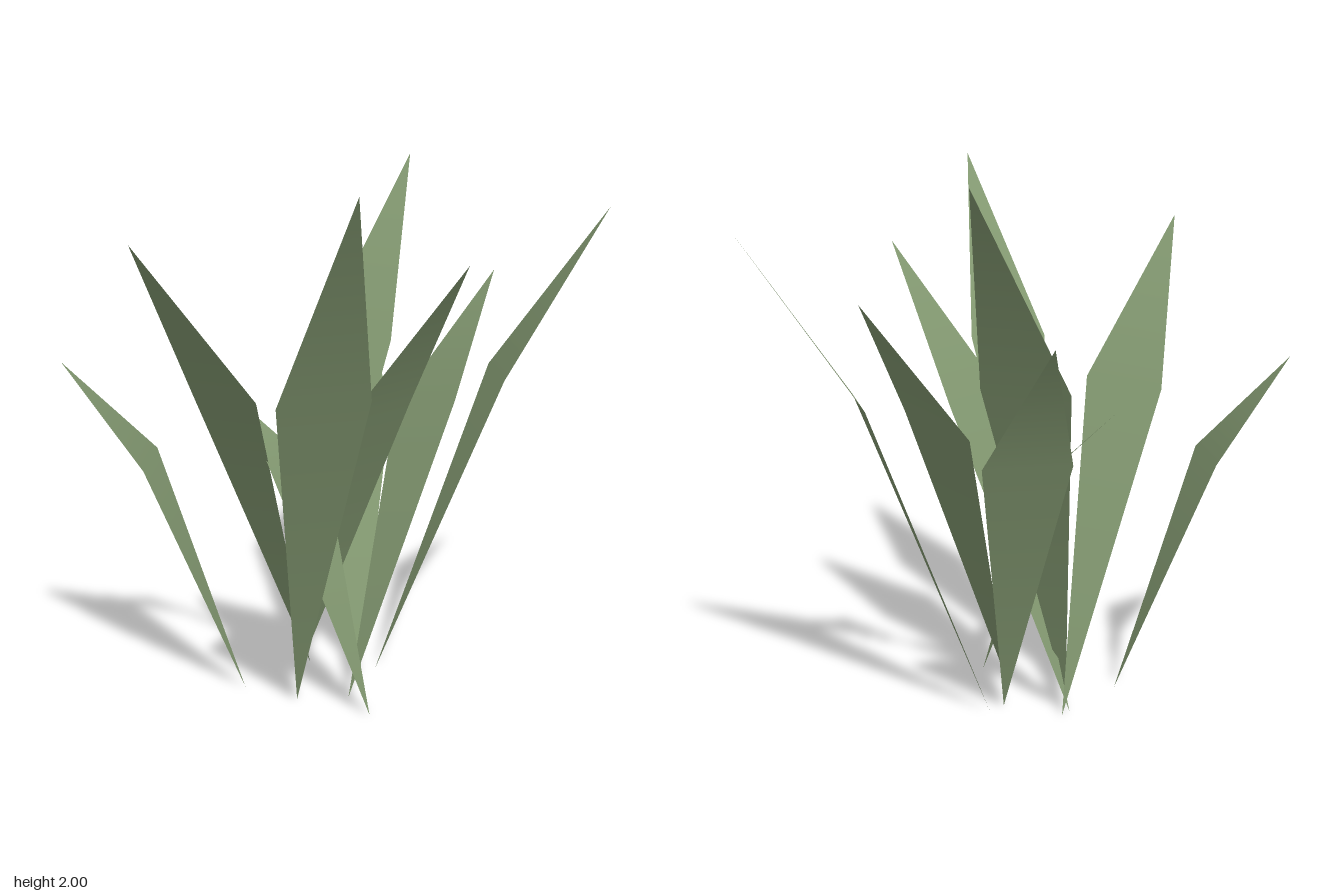
import * as THREE from 'three';

// Each blade: root, one shoulder, other shoulder, tip
const BLADES = [
  [[-0.275, 0, -0.12], [-0.66, 1.28, 0.27], [-0.38, 1.29, 0.42], [-0.74, 2, 0.765]],
  [[-0.02, 0, -0.35], [-0.49, 1.17, -0.43], [-0.44, 1.19, -0.12], [-0.885, 1.78, -0.2]],
  [[-0.355, 0, -0.34], [-0.49, 0.92, -0.68], [-0.705, 0.92, -0.45], [-0.83, 1.29, -0.77]],
  [[-0.16, 0, 0.165], [-0.08, 0.83, -0.16], [-0.385, 0.88, -0.08], [-0.3, 1.11, -0.375]],
  [[-0.065, 0, -0.35], [-0.19, 1.13, 0.09], [0.125, 1.13, 0.07], [0, 1.7, 0.485]],
  [[-0.155, 0, -0.26], [0.36, 1.28, -0.285], [0.25, 1.28, -0.585], [0.75, 1.97, -0.59]],
  [[-0.12, 0, 0], [0.27, 1.13, 0.16], [0.27, 1.065, -0.155], [0.64, 1.565, 0]],
  [[0.055, 0, -0.13], [0.415, 1.02, -0.34], [0.165, 1.02, -0.53], [0.505, 1.48, -0.72]],
  [[0.125, 0, -0.12], [0.43, 1.2, 0.26], [0.61, 1.2, 0.01], [0.88, 1.82, 0.365]],
];

// Kite-shaped leaf, bent outward across its widest line
function makeBlade(corners, material) {
  const geometry = new THREE.BufferGeometry();
  geometry.setAttribute('position', new THREE.Float32BufferAttribute(corners.flat(), 3));
  geometry.setIndex([0, 2, 1, 1, 2, 3]);
  geometry.computeVertexNormals();
  return new THREE.Mesh(geometry, material);
}

export function createModel() {
  const plant = new THREE.Group();
  plant.name = 'grassTuft';
  const green = new THREE.MeshStandardMaterial({ color: 0x849a72, side: THREE.DoubleSide });
  BLADES.forEach((corners, i) => {
    const blade = makeBlade(corners, green);
    blade.name = `blade${i + 1}`;
    plant.add(blade);
  });
  return plant;
}
